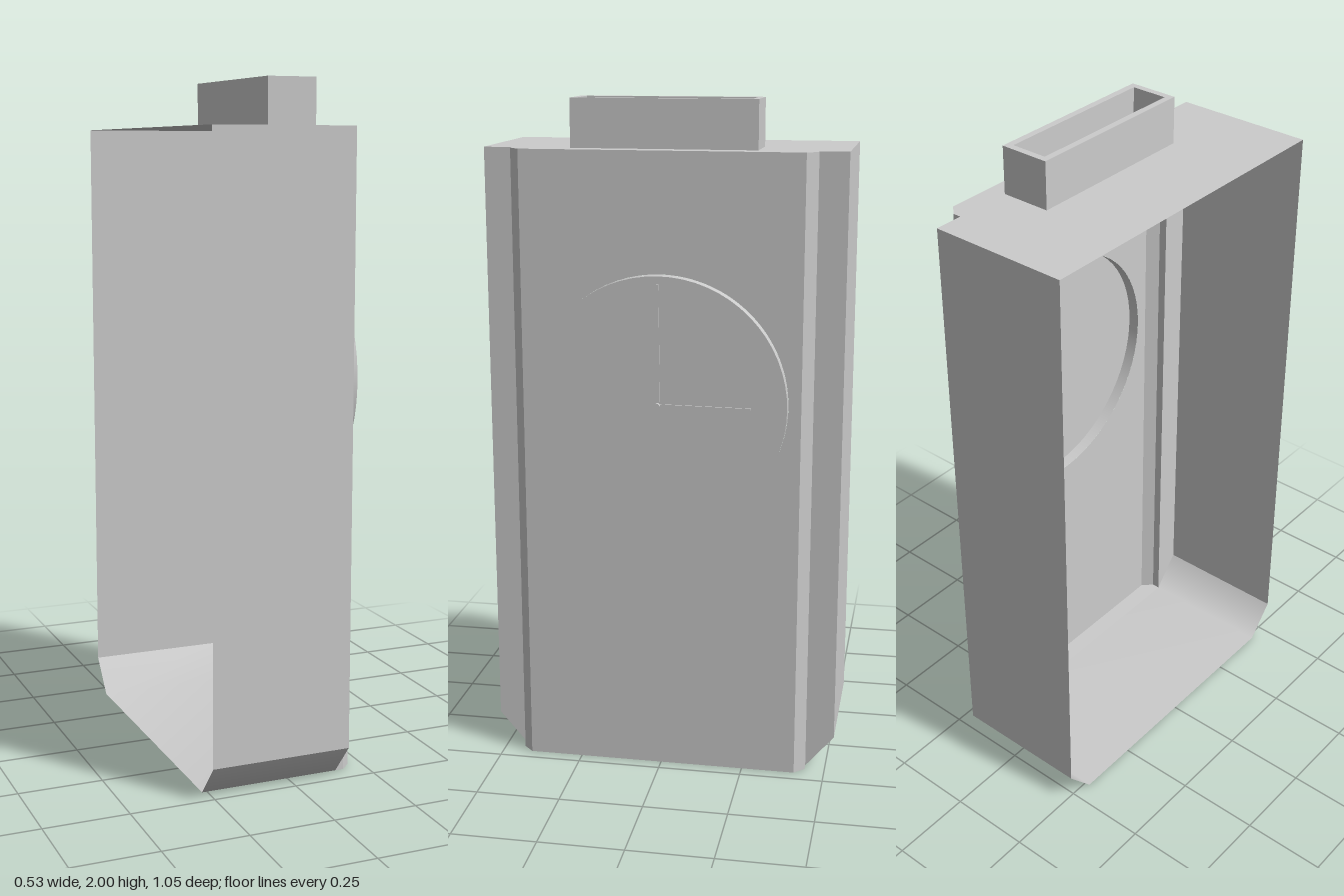
import * as THREE from 'three';

const BACK = -0.265, STEP = 0.155, LIP = 0.18, FRONT = 0.21, FACE = 0.245;
const HALF = 0.525, INNER = 0.44, PANEL = 0.41;
const TOP = 1.86, CHAMFER = 0.1, DIAL_Y = 1.14, DIAL_R = 0.373;

const shell = new THREE.MeshStandardMaterial({ color: 0xcccccc, side: THREE.DoubleSide });
const solid = new THREE.MeshStandardMaterial({ color: 0xcccccc });

export function createModel() {
  const model = new THREE.Group();

  const add = (name, geometry, material = shell, parent = model) => {
    const mesh = new THREE.Mesh(geometry, material);
    mesh.name = name;
    parent.add(mesh);
    return mesh;
  };

  // Flat quad from four corners
  const quad = (name, corners) => {
    const g = new THREE.BufferGeometry();
    g.setAttribute('position', new THREE.Float32BufferAttribute(corners.flat(), 3));
    g.setIndex([0, 1, 2, 0, 2, 3]);
    g.computeVertexNormals();
    add(name, g);
  };

  // Closed outline from points, mirrored across the second coordinate
  const mirrored = (pts) => new THREE.Shape(
    [...pts, ...pts.map(([a, b]) => [a, -b]).reverse()].map(([a, b]) => new THREE.Vector2(a, b)));

  // Sheet walls on both ends: end wall, step, lip and bevel
  for (const s of [1, -1]) {
    const wall = (name, x0, z0, b0, x1, z1, b1) => {
      const c = [[x0, b0, s * z0], [x1, b1, s * z1], [x1, TOP, s * z1], [x0, TOP, s * z0]];
      quad(name, s > 0 ? c : c.reverse());
    };
    wall('endWall', BACK, HALF, CHAMFER, STEP, HALF, CHAMFER);
    wall('stepWall', STEP, HALF, CHAMFER, STEP, INNER, 0);
    wall('lipWall', STEP, INNER, 0, LIP, INNER, 0);
    wall('bevelWall', LIP, INNER, 0, FRONT, PANEL, 0);
  }

  // Top sheet follows the stepped plan; the back stays open
  const plan = mirrored([[BACK, HALF], [STEP, HALF], [STEP, INNER], [LIP, INNER], [FRONT, PANEL]]);
  add('topPanel', new THREE.ShapeGeometry(plan).rotateX(-Math.PI / 2)).position.y = TOP;

  // Bottom sheet turns up smoothly into the chamfers
  const bottom = new THREE.PlaneGeometry(STEP - BACK, 2 * HALF, 1, 3).rotateX(Math.PI / 2);
  const p = bottom.attributes.position;
  const rows = [[HALF, CHAMFER], [INNER, 0], [-INNER, 0], [-HALF, CHAMFER]];
  for (let i = 0; i < p.count; i++) {
    const [z, y] = rows[Math.floor(i / 2)];
    p.setXYZ(i, i % 2 ? STEP : BACK, y, -z);
  }
  bottom.computeVertexNormals();
  add('bottomPanel', bottom);
  const lip = mirrored([[STEP, INNER], [LIP, INNER], [FRONT, PANEL]]);
  add('bottomLip', new THREE.ShapeGeometry(lip).rotateX(Math.PI / 2));

  // Dial panel with round opening
  const panel = new THREE.Shape([[-PANEL, 0], [PANEL, 0], [PANEL, TOP], [-PANEL, TOP]]
    .map(([a, b]) => new THREE.Vector2(a, b)));
  panel.holes.push(new THREE.Path().absarc(0, DIAL_Y, DIAL_R, 0, Math.PI * 2, true));
  add('dialPanel', new THREE.ShapeGeometry(panel, 64).rotateY(Math.PI / 2)).position.x = FRONT;

  // Clock: hollow raised dial, hub and two hands
  const clock = new THREE.Group();
  clock.name = 'clock';
  clock.position.y = DIAL_Y;
  model.add(clock);
  const rim = new THREE.CylinderGeometry(DIAL_R, DIAL_R, FACE - FRONT, 64, 1, true).rotateZ(Math.PI / 2);
  add('dialRim', rim, shell, clock).position.x = (FRONT + FACE) / 2;
  add('dialFace', new THREE.CircleGeometry(DIAL_R, 64).rotateY(Math.PI / 2), shell, clock).position.x = FACE;
  add('hub', new THREE.CylinderGeometry(0.008, 0.008, 0.02, 16).rotateZ(-Math.PI / 2), solid, clock).position.x = 0.255;

  const hand = (name, length, base, tip, angle) => {
    const outline = mirrored([[-0.01, base], [length, tip]]);
    const g = new THREE.ExtrudeGeometry(outline, { depth: 0.004, bevelEnabled: false });
    const mesh = add(name, g.rotateZ(Math.PI / 2).rotateY(Math.PI / 2), solid, clock);
    mesh.position.x = 0.249;
    mesh.rotation.x = angle;
  };
  hand('minuteHand', 0.35, 0.007, 0.003, 0);
  hand('hourHand', 0.27, 0.004, 0.002, -Math.PI / 2);

  // Open rectangular collar on the top
  const rect = (Type, x0, x1, z) => new Type([[x0, -z], [x1, -z], [x1, z], [x0, z]]
    .map(([a, b]) => new THREE.Vector2(a, b)));
  const collar = rect(THREE.Shape, 0.005, STEP, 0.27);
  collar.holes.push(rect(THREE.Path, 0.025, 0.135, 0.25));
  const collarGeometry = new THREE.ExtrudeGeometry(collar, { depth: 2 - TOP, bevelEnabled: false });
  add('topCollar', collarGeometry.rotateX(-Math.PI / 2), solid).position.y = TOP;

  return model;
}
